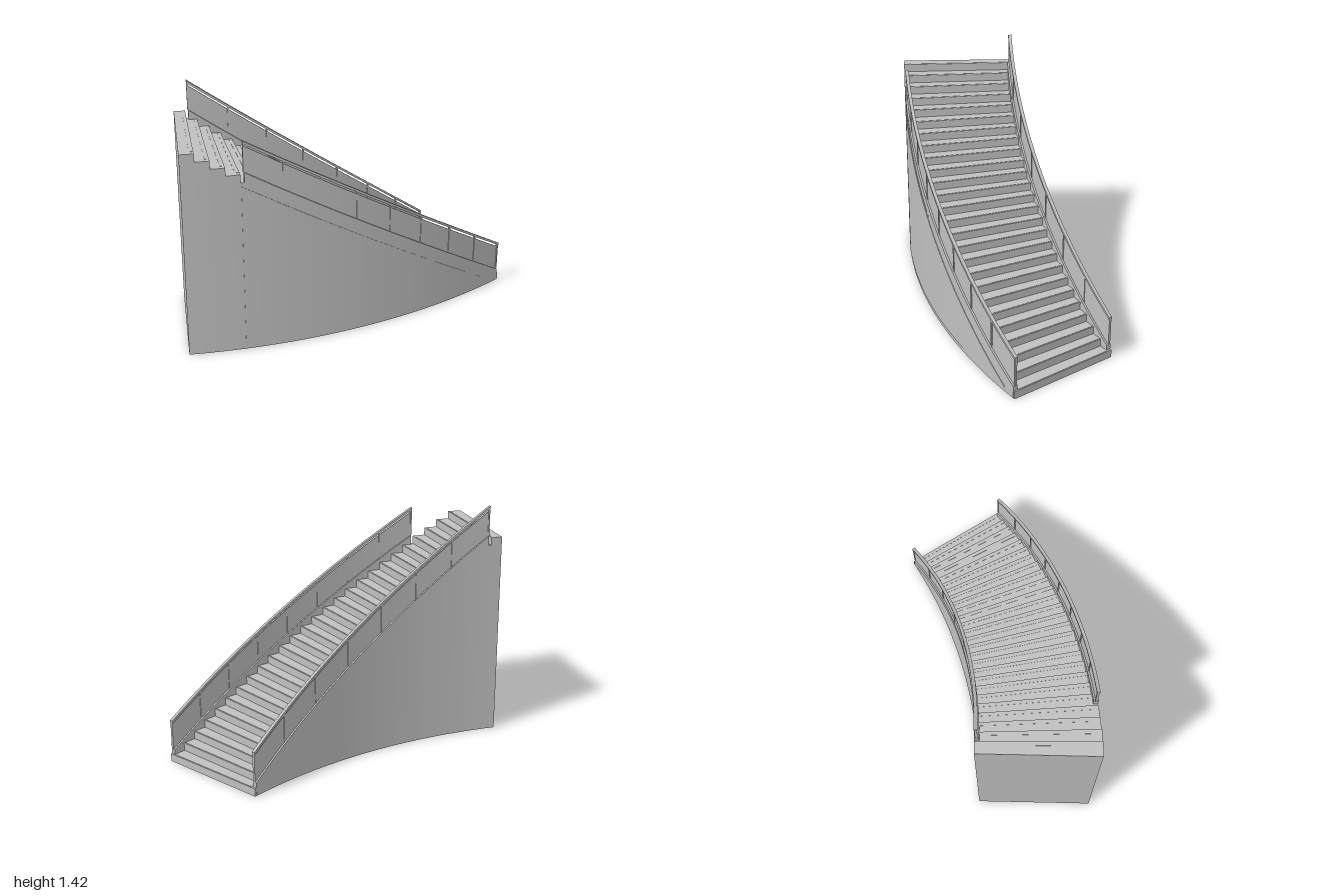
import * as THREE from 'three';

const CX = 1.447, CZ = -2.84;          // centre of the curve
const R_IN = 2.9, R_OUT = 3.588;       // inner and outer radius
const START = 8.95, END = 42.85;       // sweep in degrees
const STEPS = 26, RISE = 1.23 / STEPS, TREAD = (END - START) / STEPS;

const grey = new THREE.MeshStandardMaterial({ color: 0xc0c0c0 });
grey.name = 'stone grey';

// Height of the line through the feet of the risers
const pitch = (a) => (a - START) * RISE / TREAD;
const above = (d) => (a) => pitch(a) + d;
const flat = (y) => () => y;
const railTop = (a) => 0.262 + 0.036 * (a - 9.1);
const underRail = (d) => (a) => railTop(a) - d;

// Closed slab swept round the curve between two radii, angles and height rules
function arcSlab(r0, r1, a0, a1, bottom, top, segments) {
  const rings = [];
  for (let i = 0; i <= segments; i++) {
    const a = a0 + (a1 - a0) * i / segments;
    const s = Math.sin(a * Math.PI / 180), c = Math.cos(a * Math.PI / 180);
    const at = (r, y) => [CX - r * s, y, CZ + r * c];
    const b = bottom(a), t = top(a);
    rings.push([at(r0, b), at(r1, b), at(r1, t), at(r0, t)]);
  }
  const points = [];
  const quad = (a, b, c, d) => points.push(...a, ...b, ...c, ...a, ...c, ...d);
  for (let i = 0; i < segments; i++) {
    const p = rings[i], q = rings[i + 1];
    for (let j = 0; j < 4; j++) {
      const k = (j + 1) % 4;
      quad(p[j], p[k], q[k], q[j]);
    }
  }
  const f = rings[0], l = rings[segments];
  quad(f[0], f[3], f[2], f[1]);
  quad(l[0], l[1], l[2], l[3]);
  const geometry = new THREE.BufferGeometry();
  geometry.setAttribute('position', new THREE.Float32BufferAttribute(points, 3));
  geometry.computeVertexNormals();
  return geometry;
}

export function createModel() {
  const model = new THREE.Group();
  model.name = 'curvedStaircase';
  const add = (parent, name, ...slab) => {
    const mesh = new THREE.Mesh(arcSlab(...slab), grey);
    mesh.name = name;
    parent.add(mesh);
  };

  // Steps, each with a thin grip strip behind its nose
  const steps = new THREE.Group();
  steps.name = 'steps';
  model.add(steps);
  for (let i = 0; i < STEPS; i++) {
    const a = START + i * TREAD, y = (i + 1) * RISE;
    add(steps, 'step', R_IN, R_OUT, a, a + TREAD, flat(i * RISE), flat(y), 2);
    add(steps, 'gripStrip', R_IN + 0.03, R_OUT - 0.03, a + 0.1, a + 0.4, flat(y), flat(y + 0.002), 1);
  }

  // Hollow base: two curved walls and an end wall, open underneath
  add(model, 'outerWall', R_OUT - 0.012, R_OUT, START, END, flat(0), pitch, 52);
  add(model, 'innerWall', R_IN, R_IN + 0.012, START, END, flat(0), pitch, 52);
  add(model, 'endWall', R_IN, R_OUT, END - 0.2, END, flat(0), flat(1.2), 1);
  add(model, 'outerWallPanel', R_OUT, R_OUT + 0.003, START + 1.5, 37.6, flat(0.025), above(-0.02), 40);

  // Balustrades: stringer, glass panels, posts and handrail
  function balustrade(name, r, a0, a1, bays) {
    const side = new THREE.Group();
    side.name = name;
    model.add(side);
    add(side, 'stringer', r - 0.014, r + 0.014, a0, a1, above(0), above(0.07), 48);
    add(side, 'handrail', r - 0.01, r + 0.01, a0 - 0.08, a1 + 0.08, underRail(0.016), railTop, 48);
    add(side, 'panel', r - 0.003, r + 0.003, a0, a1, above(0.065), underRail(0.028), 48);
    for (let i = 0; i <= bays; i++) {
      const a = a0 + (a1 - a0) * i / bays;
      add(side, 'post', r - 0.007, r + 0.007, a - 0.08, a + 0.08, underRail(0.18), underRail(0.01), 1);
    }
  }
  balustrade('outerBalustrade', R_OUT - 0.012, 9.1, 37.3, 8);
  balustrade('innerBalustrade', R_IN + 0.012, 9.2, 41.2, 7);

  return model;
}
